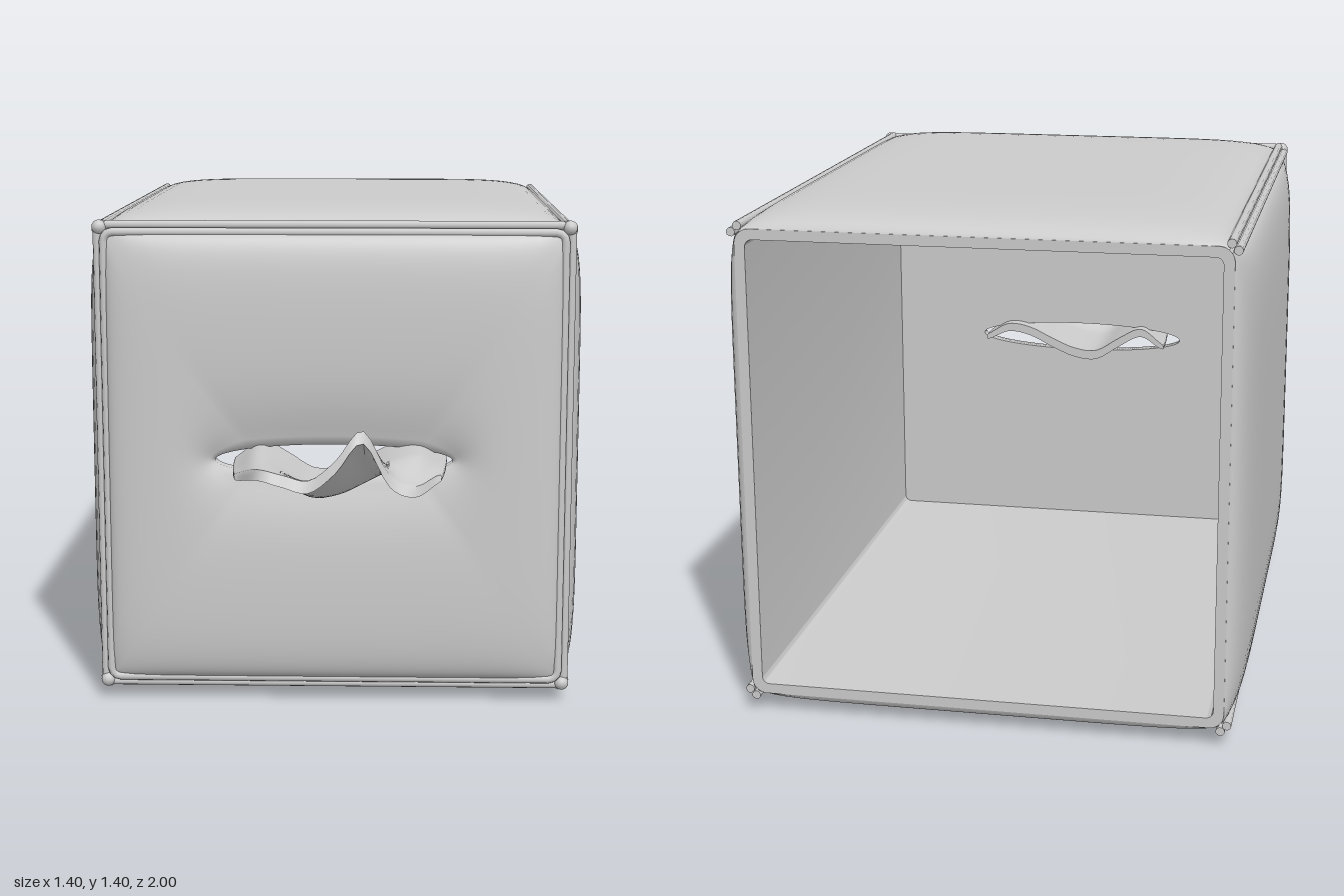
import * as THREE from 'three';
import { mergeVertices, toCreasedNormals } from 'three/addons/utils/BufferGeometryUtils.js';

const MID = 0.705;   // height of the box centre
const BACK = -1, FRONT = 0.575;
const material = new THREE.MeshStandardMaterial({ color: 0xcccccc, side: THREE.DoubleSide });

// Smooth surface from a rule: point(u, v) with u and v in 0..1, facing du x dv
function surface(nu, nv, point) {
  const positions = [], index = [];
  for (let j = 0; j <= nv; j++)
    for (let i = 0; i <= nu; i++) positions.push(...point(i / nu, j / nv));
  for (let j = 0; j < nv; j++)
    for (let i = 0; i < nu; i++) {
      const a = j * (nu + 1) + i, b = a + 1, c = a + nu + 1, d = c + 1;
      index.push(a, b, d, a, d, c);
    }
  const geometry = new THREE.BufferGeometry();
  geometry.setAttribute('position', new THREE.Float32BufferAttribute(positions, 3));
  geometry.setIndex(index);
  const merged = mergeVertices(geometry, 1e-5);
  merged.computeVertexNormals();
  return merged;
}

function addMesh(parent, name, geometry) {
  const mesh = new THREE.Mesh(geometry, material);
  mesh.name = name;
  parent.add(mesh);
  return mesh;
}

// Cushion height, falling steeply to zero at the borders (u, v in -1..1)
const puff = (u, v) =>
  0.06 * Math.pow(Math.max(0, (1 - Math.abs(u) ** 7) * (1 - Math.abs(v) ** 7)), 0.42);
const crowd = (t) => Math.sin((t - 0.5) * Math.PI);   // more rows near the borders

// Square outline with rounded corners
function roundedSquare(path, h, r) {
  path.moveTo(-h + r, -h);
  path.lineTo(h - r, -h);
  path.absarc(h - r, -h + r, r, -Math.PI / 2, 0, false);
  path.lineTo(h, h - r);
  path.absarc(h - r, h - r, r, 0, Math.PI / 2, false);
  path.lineTo(-h + r, h);
  path.absarc(-h + r, h - r, r, Math.PI / 2, Math.PI, false);
  path.lineTo(-h, -h + r);
  path.absarc(-h + r, -h + r, r, Math.PI, Math.PI * 1.5, false);
  return path;
}

// Ring between the slot and a square border; t = 0 at the slot
function slotRing(t, v, half) {
  const a = v * Math.PI * 2, c = Math.cos(a), s = Math.sin(a);
  const m = half / Math.max(Math.abs(c), Math.abs(s));
  return [
    THREE.MathUtils.lerp(0.33 * c, m * c, t),
    THREE.MathUtils.lerp(0.045 * s, m * s, t),
  ];
}

// Smooth curve through evenly spaced values, u in 0..1
function valueCurve(values) {
  const curve = new THREE.SplineCurve(values.map((y, i) => new THREE.Vector2(i, y)));
  return (u) => curve.getPoint(THREE.MathUtils.clamp(u, 0, 1)).y;
}

function makeTissue() {
  const rearY = valueCurve([0.69, 0.735, 0.7, 0.655, 0.66, 0.69, 0.725, 0.735, 0.7]);
  const tipY = valueCurve([0.7, 0.735, 0.725, 0.715, 0.77, 0.845, 0.72, 0.685, 0.7]);
  const tipZ = valueCurve([0.8, 0.94, 0.97, 0.985, 0.99, 0.965, 0.935, 0.91, 0.8]);
  const rows = 28;
  const geometry = surface(96, rows, (u, v) => {
    const a = u * Math.PI * 2, side = Math.cos(a), s = (side + 1) / 2;
    // the first and last rows close the thin sheet
    const closed = v === 0 || v === 1;
    const t = THREE.MathUtils.clamp((v * rows - 1) / (rows - 2), 0, 1);
    const half = closed ? 0 : 0.015 * Math.sign(Math.sin(a)) * Math.abs(Math.sin(a)) ** 0.35;
    const curl = THREE.MathUtils.smoothstep(t, 0.5, 1.05);
    const x = 0.017 + side * (0.298 - 0.02 * t * t);
    const y = THREE.MathUtils.lerp(rearY(s), tipY(s), curl);
    const z = THREE.MathUtils.lerp(0.52, tipZ(s), t);
    // the thickness leans back where the tip curls up
    return [x, y + half, z - half * curl * 0.7];
  });
  return toCreasedNormals(geometry, 0.8);
}

export function createModel() {
  const model = new THREE.Group();
  model.name = 'tissueBoxCover';
  const box = new THREE.Group();
  box.name = 'box';
  box.position.y = MID;
  model.add(box);

  // Hollow shell, open at the back
  const outline = roundedSquare(new THREE.Shape(), 0.645, 0.04);
  outline.holes.push(roundedSquare(new THREE.Path(), 0.617, 0.02));
  const shell = new THREE.ExtrudeGeometry(outline, {
    depth: FRONT - BACK, bevelEnabled: false, curveSegments: 6,
  });
  addMesh(box, 'shell', toCreasedNormals(shell, 0.6)).position.z = BACK;

  // Inner face of the front wall
  addMesh(box, 'frontLining', surface(12, 96, (u, v) => {
    const [x, y] = slotRing(1 - u, v, 0.625);
    return [x, y, 0.56];
  }));

  // Padded front with a slot, drawn inward around the opening
  addMesh(box, 'frontPanel', surface(40, 128, (u, v) => {
    const t = Math.sin(Math.max(0, (u * 40 - 2) / 38) * Math.PI / 2);
    const [x, y] = slotRing(t, v, 0.63);
    if (u < 0.02) return [x, y, 0.56];
    const dip = 0.045 * Math.exp(-((t / 0.2) ** 1.3));
    return [x, y, 0.58 + puff(x / 0.63, y / 0.63) - dip];
  }));

  // Four padded side panels and paired piping along their shared corners
  const names = ['topPanel', 'rightPanel', 'bottomPanel', 'leftPanel'];
  const depth = FRONT - BACK, centre = (FRONT + BACK) / 2;
  const panel = surface(32, 32, (u, v) => {
    const a = crowd(u), b = crowd(v);
    return [a * 0.632, 0.638 + puff(a, b), centre - b * depth / 2];
  });
  names.forEach((name, k) => {
    const side = new THREE.Group();
    side.name = name + 'Side';
    side.rotation.z = k * Math.PI / 2;
    box.add(side);
    addMesh(side, name, panel);
    for (const x of [-1, 1]) {
      const pipe = new THREE.CylinderGeometry(0.012, 0.012, depth, 10);
      pipe.rotateX(Math.PI / 2);
      addMesh(side, 'cornerPiping', pipe).position.set(x * 0.636, 0.653, centre);
    }
    // small knot where the seams meet
    const knot = addMesh(side, 'cornerKnot', new THREE.SphereGeometry(0.02, 12, 8));
    knot.position.set(0.645, 0.645, FRONT);
  });

  // Two piping loops around the front seam
  for (const [half, z] of [[0.632, 0.586], [0.651, 0.57]]) {
    const points = roundedSquare(new THREE.Path(), half, 0.025).getPoints(6);
    const loop = new THREE.CurvePath();
    points.forEach((p, i) => {
      const q = points[(i + 1) % points.length];
      if (p.distanceTo(q) > 1e-4)
        loop.add(new THREE.LineCurve3(new THREE.Vector3(p.x, p.y, z), new THREE.Vector3(q.x, q.y, z)));
    });
    addMesh(box, 'frontPiping', new THREE.TubeGeometry(loop, 400, 0.012, 8, true));
  }

  // Wavy tissue sheet pulled through the slot
  addMesh(model, 'tissue', makeTissue());

  return model;
}
